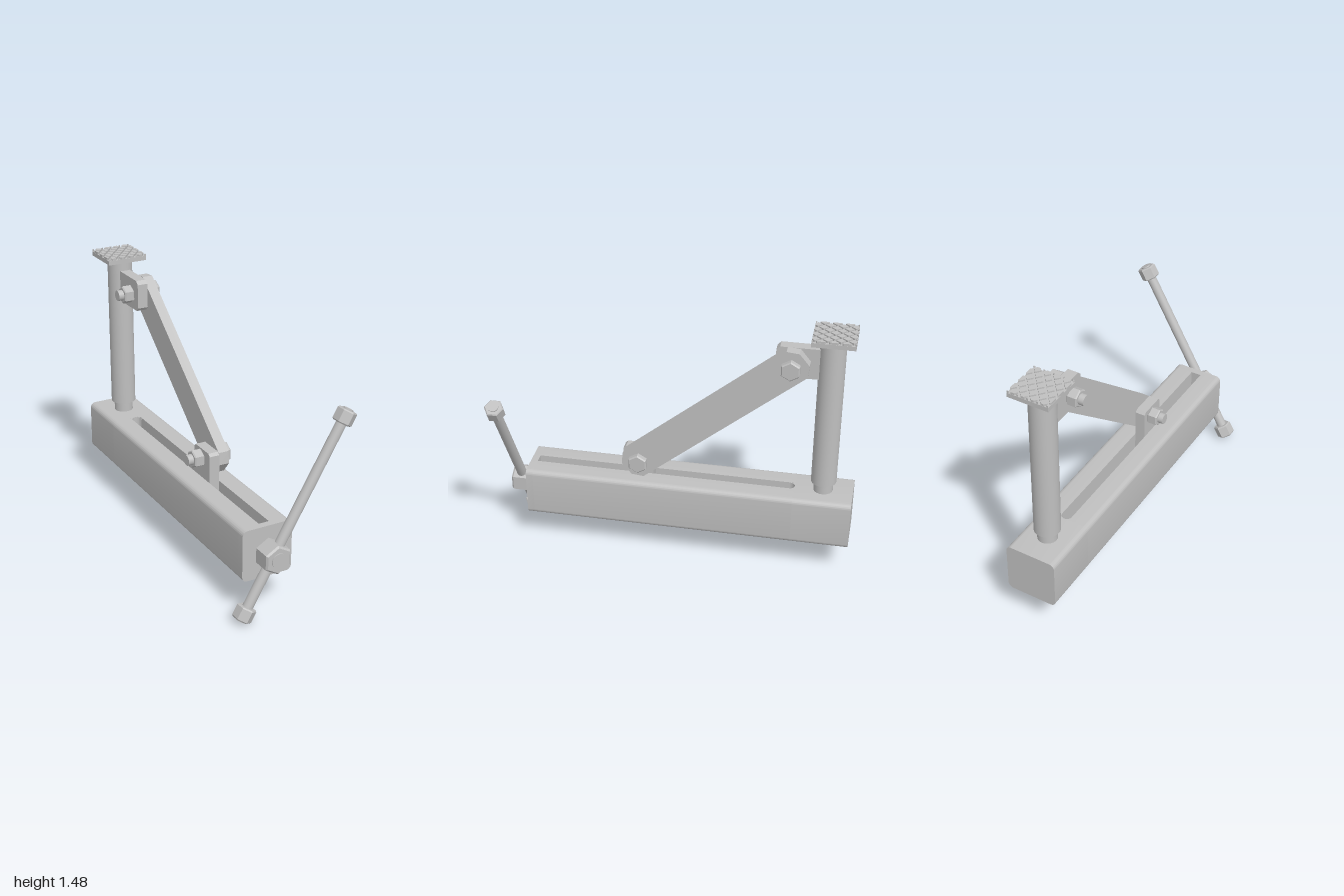
import * as THREE from 'three';
import { toCreasedNormals } from 'three/addons/utils/BufferGeometryUtils.js';

const CX = -0.117; // the frame's centre line
const steel = new THREE.MeshStandardMaterial({ color: 0xbfbfbf });
steel.name = 'steel grey';

export function createModel() {
  const model = new THREE.Group();
  model.name = 'supportStand';

  const add = (name, geometry, x = 0, y = 0, z = 0, parent = model) => {
    const mesh = new THREE.Mesh(geometry, steel);
    mesh.name = name;
    mesh.position.set(x, y, z);
    parent.add(mesh);
    return mesh;
  };
  const extrude = (shape, depth) => toCreasedNormals(
    new THREE.ExtrudeGeometry(shape, { depth, bevelEnabled: false, curveSegments: 8 }), 0.6);
  const polygon = pts => new THREE.Shape(pts.map(p => new THREE.Vector2(p[0], p[1])));
  const rod = (r, h) => new THREE.CylinderGeometry(r, r, h, 32);
  // Hexagon prism with chamfered ends, along y
  const hex = (r, h, phi = 0) => {
    const c = r * 0.12, pts = [[0, -h / 2], [r - c, -h / 2], [r, -h / 2 + c], [r, h / 2 - c], [r - c, h / 2], [0, h / 2]];
    const g = new THREE.LatheGeometry(pts.map(p => new THREE.Vector2(...p)), 6, phi).toNonIndexed();
    g.computeVertexNormals();
    return g;
  };
  // Side plate drawn in (z, y), thickened from x0 to x1
  const sidePlate = (name, pts, x0, x1) => {
    const mesh = add(name, extrude(polygon(pts.map(([z, y]) => [-z, y])), x1 - x0), x0);
    mesh.rotation.y = Math.PI / 2;
    return mesh;
  };

  // Square beam with rounded edges and a slot along the top
  const beamPart = (name, z0, z1, slotted) => {
    const w = 0.147, r = 0.03, s = new THREE.Shape();
    s.moveTo(-w + r, -w);
    s.absarc(w - r, -w + r, r, -Math.PI / 2, 0, false);
    s.absarc(w - r, w - r, r, 0, Math.PI / 2, false);
    if (slotted) for (const [x, y] of [[0.03, w], [0.03, -0.06], [-0.03, -0.06], [-0.03, w]]) s.lineTo(x, y);
    s.absarc(-w + r, w - r, r, Math.PI / 2, Math.PI, false);
    s.absarc(-w + r, -w + r, r, Math.PI, Math.PI * 1.5, false);
    add(name, extrude(s, z1 - z0), CX, 0.343, z0);
  };
  beamPart('beamBack', -1, -0.67, false);
  beamPart('beamSlotted', -0.67, 0.84, true);
  beamPart('beamFront', 0.84, 0.88, false);

  // Rounded back end of the slot
  const bite = new THREE.Shape();
  bite.moveTo(-0.03, 0);
  bite.lineTo(0.03, 0);
  bite.lineTo(0.03, 0.03);
  bite.absarc(0, 0.03, 0.0295, 0, -Math.PI, true);
  bite.lineTo(-0.03, 0.03);
  add('slotEnd', extrude(bite, 0.2), CX, 0.489, -0.67).rotation.x = Math.PI / 2;

  // Screw running through the slot
  add('screw', rod(0.045, 1.45), CX, 0.343, 0.055).rotation.x = Math.PI / 2;
  add('screwNeck', rod(0.026, 0.1), CX, 0.343, 0.81).rotation.x = Math.PI / 2;

  // Upright post
  add('postBase', rod(0.055, 0.08), CX, 0.52, -0.83);
  add('post', rod(0.072, 0.9), CX, 1.0, -0.83);

  // Top pad with diamond tread
  const P = 0.118;
  add('pad', new THREE.BoxGeometry(2 * P, 0.025, 2 * P), CX, 1.4605, -0.837);
  const clip = (pts, axis, sign) => pts.flatMap((a, i) => {
    const b = pts[(i + 1) % pts.length], lim = P - 0.001;
    const da = lim - sign * a[axis], db = lim - sign * b[axis], out = da >= 0 ? [a] : [];
    if (da * db < 0) out.push([0, 1].map(k => a[k] + (b[k] - a[k]) * da / (da - db)));
    return out;
  });
  const tread = new THREE.Group();
  tread.name = 'padTread';
  tread.position.set(CX, 1.473, -0.837);
  model.add(tread);
  const W = 0.056, H = 0.068;
  for (let i = -6; i <= 6; i++) for (let j = -6; j <= 6; j++) {
    if ((i + j) % 2) continue;
    const x = i * W / 2, z = j * H / 2, a = W * 0.38, b = H * 0.38;
    let pts = [[x - a, z], [x, z - b], [x + a, z], [x, z + b]];
    for (const [axis, sign] of [[0, 1], [0, -1], [1, 1], [1, -1]]) pts = clip(pts, axis, sign);
    if (pts.length < 3) continue;
    add('treadDiamond', extrude(polygon(pts), 0.012), 0, 0, 0, tread).rotation.x = -Math.PI / 2;
  }

  // Lugs on the post and on the slider
  sidePlate('postLug', [[-0.8, 1.21], [-0.55, 1.21], [-0.53, 1.23], [-0.53, 1.37], [-0.55, 1.39], [-0.8, 1.39]], -0.147, -0.086);
  sidePlate('sliderLug', [[0.145, 0.3], [0.32, 0.3], [0.32, 0.645], [0.305, 0.66], [0.16, 0.66], [0.145, 0.645]], -0.146, -0.087);

  // Diagonal brace with chamfered ends
  const low = [0.22, 0.605], high = [-0.62, 1.295];
  const dz = high[0] - low[0], dy = high[1] - low[1], L = Math.hypot(dz, dy);
  const e = 0.09, h = 0.094, c = 0.05;
  const outline = [[-e, -h + c], [-e + c, -h], [L + e - c, -h], [L + e, -h + c],
    [L + e, h - c], [L + e - c, h], [-e + c, h], [-e, h - c]];
  sidePlate('brace', outline.map(([u, v]) =>
    [low[0] + (u * dz + v * dy) / L, low[1] + (u * dy - v * dz) / L]), -0.085, -0.025);

  // Pivot bolts with heads and nuts
  for (const [z, y] of [low, high]) {
    const bolt = new THREE.Group();
    bolt.name = 'pivotBolt';
    bolt.position.set(0, y, z);
    model.add(bolt);
    add('boltHead', hex(0.058, 0.04, Math.PI / 2), -0.005, 0, 0, bolt);
    add('boltNut', hex(0.052, 0.058, Math.PI / 2), -0.175, 0, 0, bolt);
    add('boltShank', rod(0.03, 0.22), -0.125, 0, 0, bolt);
    bolt.children.forEach(m => { m.rotation.z = Math.PI / 2; });
  }

  // Crank hub, tommy bar and end nuts
  add('crankHub', hex(0.083, 0.115), CX, 0.343, 0.9375).rotation.x = Math.PI / 2;
  add('crankSpindle', rod(0.042, 0.12), CX, 0.343, 0.94).rotation.x = Math.PI / 2;
  const handle = new THREE.Group();
  handle.name = 'crankHandle';
  handle.position.set(0, 0.545, 0.94);
  handle.rotation.z = -Math.PI / 6;
  model.add(handle);
  add('handleBar', rod(0.028, 1.224), 0, 0, 0, handle);
  for (const s of [1, -1]) add('handleNut', hex(0.054, 0.075), 0, s * 0.568, 0, handle);

  return model;
}
